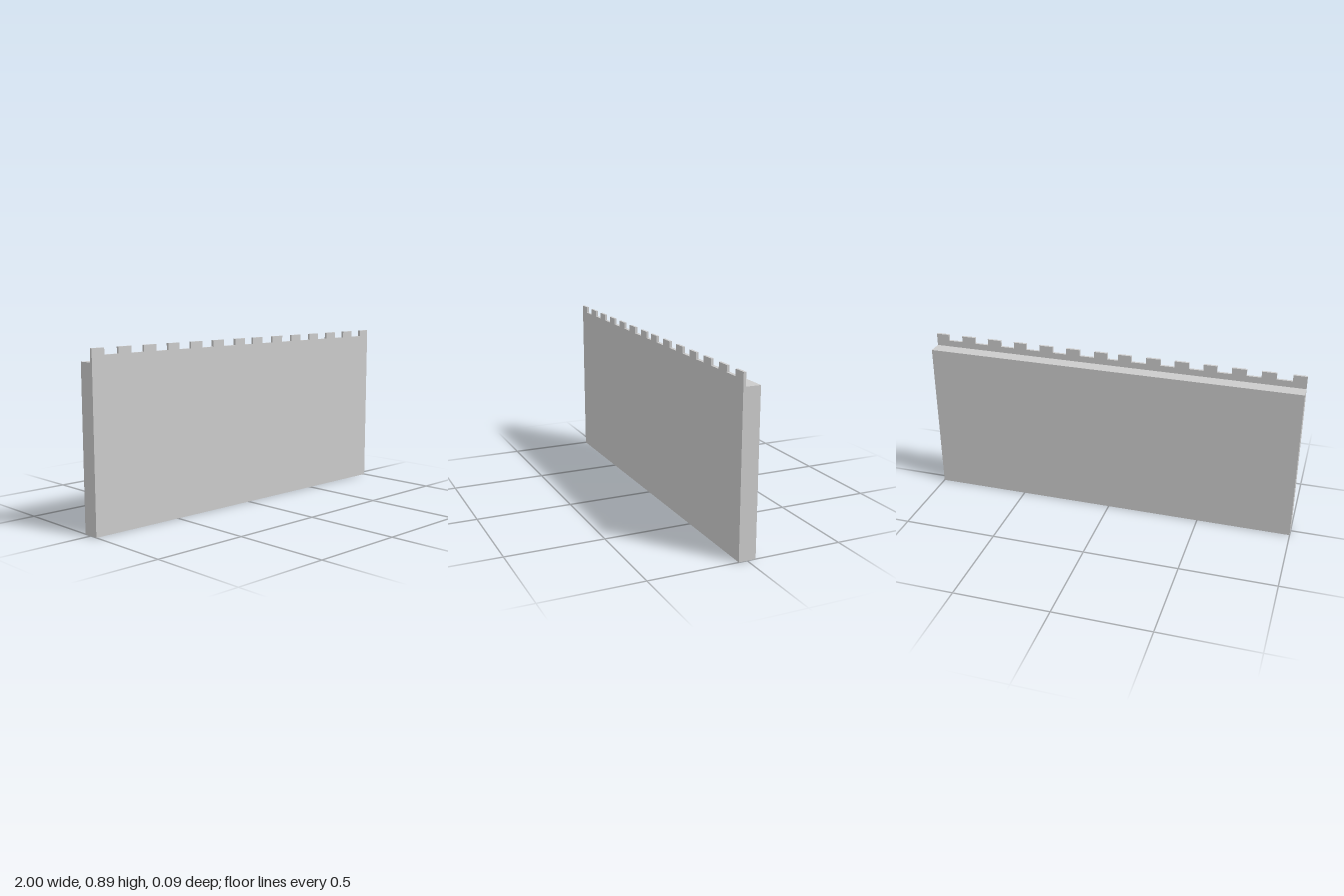
import * as THREE from 'three';

const HALF = 1, DEPTH = 0.088, WALK = 0.82, SILL = 0.853, TOP = 0.886, PARAPET = 0.013;

export function createModel() {
  const group = new THREE.Group();
  const material = new THREE.MeshStandardMaterial({ color: 0xcccccc, flatShading: true, side: THREE.DoubleSide });

  // Wall body: a hollow shell, open underneath
  const shell = new THREE.BoxGeometry(2 * HALF, WALK, DEPTH);
  const bottom = shell.groups[3]; // the -y side
  const index = Array.from(shell.index.array);
  index.splice(bottom.start, bottom.count);
  shell.setIndex(index);
  shell.clearGroups();
  const wall = new THREE.Mesh(shell, material);
  wall.name = 'wall';
  wall.position.y = WALK / 2;
  group.add(wall);

  // Thin parapet along the front edge, with merlons mirrored about the middle
  const right = [[0.03, 0.1], [0.18, 0.255], [0.33, 0.405], [0.48, 0.55], [0.625, 0.7], [0.775, 0.85], [0.93, 1]];
  const left = right.map(([a, b]) => [-b, -a]).reverse();
  const outline = new THREE.Shape();
  outline.moveTo(HALF, WALK);
  for (const [a, b] of [...left, ...right].reverse()) {
    if (b < HALF) outline.lineTo(b, SILL);
    outline.lineTo(b, TOP);
    outline.lineTo(a, TOP);
    if (a > -HALF) outline.lineTo(a, SILL);
  }
  outline.lineTo(-HALF, WALK);
  const parapet = new THREE.Mesh(
    new THREE.ExtrudeGeometry(outline, { depth: PARAPET, bevelEnabled: false }), material);
  parapet.name = 'parapet';
  parapet.position.z = DEPTH / 2 - PARAPET;
  group.add(parapet);

  return group;
}
